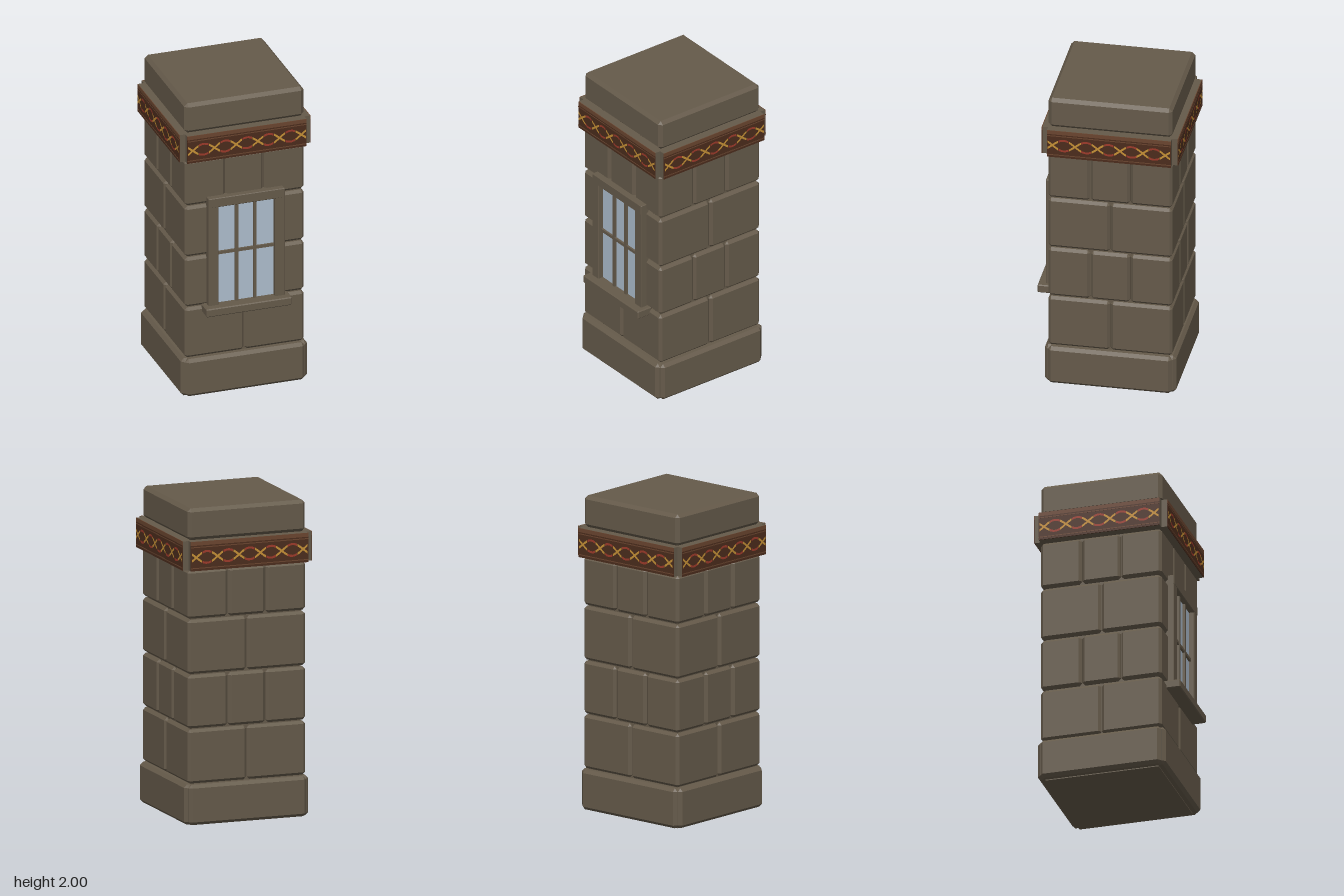
import * as THREE from 'three';
import { ConvexGeometry } from 'three/addons/geometries/ConvexGeometry.js';

const mat = (name, color, side = THREE.FrontSide) => {
  const m = new THREE.MeshStandardMaterial({ color, side });
  m.name = name;
  return m;
};

const CENTRE_Z = -0.024; // the pillar sits slightly back to make room for the sill
const HALF = 0.39;

export function createModel() {
  const stone = mat('stone', 0x655a4a);
  const glass = mat('glass', 0xadbdcd);
  const brown = mat('dark brown', 0x4b2c1c);
  const trim = mat('trim brown', 0x6a452f);
  const gold = mat('gold', 0xc48f35, THREE.DoubleSide);
  const red = mat('red', 0x9c3a2a, THREE.DoubleSide);

  const model = new THREE.Group();
  model.name = 'pillar';

  const add = (parent, name, geometry, material) => {
    const mesh = new THREE.Mesh(geometry, material);
    mesh.name = name;
    parent.add(mesh);
    return mesh;
  };

  // Box given by its limits
  const box = (parent, name, [x0, x1], [y0, y1], [z0, z1], material = stone) => {
    const g = new THREE.BoxGeometry(x1 - x0, y1 - y0, z1 - z0);
    g.translate((x0 + x1) / 2, (y0 + y1) / 2, (z0 + z1) / 2);
    return add(parent, name, g, material);
  };

  // Box with every edge chamfered by c
  const chamferBox = (parent, name, [x0, x1], [y0, y1], [z0, z1], c) => {
    const h = [(x1 - x0) / 2, (y1 - y0) / 2, (z1 - z0) / 2];
    const points = [];
    for (const sx of [-1, 1]) for (const sy of [-1, 1]) for (const sz of [-1, 1])
      for (let axis = 0; axis < 3; axis++) {
        const p = h.map((v, i) => (i === axis ? v : v - c));
        points.push(new THREE.Vector3(p[0] * sx, p[1] * sy, p[2] * sz));
      }
    const g = new ConvexGeometry(points);
    g.translate((x0 + x1) / 2, (y0 + y1) / 2, (z0 + z1) / 2);
    return add(parent, name, g, stone);
  };

  // Core and cap
  const shaft = new THREE.Group();
  shaft.name = 'shaft';
  shaft.position.z = CENTRE_Z;
  model.add(shaft);
  box(shaft, 'core', [-0.365, 0.365], [0, 1.81], [-0.365, 0.365]);
  chamferBox(shaft, 'cap', [-HALF, HALF], [1.8, 2], [-HALF, HALF], 0.021);

  // Braid pieces: two crossing waves, red at the crests and gold on the slopes
  const braidShapes = (isRed) => {
    const shapes = [];
    const eye = 0.142, amp = 0.037, width = 0.013, limit = 0.385;
    for (const sign of [-1, 1]) for (let k = -3; k <= 3; k++) {
      const mid = (isRed ? k : k + 0.5) * eye;
      const reach = (isRed ? 0.22 : 0.26) * eye;
      const a = Math.max(mid - reach, -limit), b = Math.min(mid + reach, limit);
      if (b - a < 0.01) continue;
      const upper = [], lower = [];
      for (let i = 0; i <= 8; i++) {
        const x = a + (b - a) * i / 8;
        const phase = Math.PI * x / eye;
        const y = 1.7 + sign * amp * Math.cos(phase);
        const w = width / 2 * (1 + 0.25 * Math.abs(Math.sin(phase)));
        upper.push(new THREE.Vector2(x, y + w));
        lower.unshift(new THREE.Vector2(x, y - w));
      }
      shapes.push(new THREE.Shape([...lower, ...upper]));
    }
    return shapes;
  };
  const braid = [[red, true, 0.4308], [gold, false, 0.4312]].map(([m, isRed, z]) => {
    const g = new THREE.ShapeGeometry(braidShapes(isRed));
    g.translate(0, 0, z);
    return [m, g];
  });

  // Four equal sides: plinth slab, stone courses and painted band
  const courses = [[0.265, 0.605, 2], [0.613, 0.948, 3], [0.956, 1.297, 2], [1.305, 1.61, 3]];
  for (let s = 0; s < 4; s++) {
    const side = new THREE.Group();
    side.name = 'side' + (s + 1);
    side.rotation.y = s * Math.PI / 2;
    shaft.add(side);

    chamferBox(side, 'plinthSlab', [-HALF, HALF], [0.006, 0.26], [0.31, 0.413], 0.02);

    for (const [y0, y1, count] of courses) {
      const cuts = count === 2 ? [-HALF, 0, HALF] : [-HALF, -0.125, 0.125, HALF];
      for (let i = 0; i < count; i++) {
        const x0 = cuts[i] + (i > 0 ? 0.002 : 0);
        const x1 = cuts[i + 1] - (i < count - 1 ? 0.002 : 0);
        chamferBox(side, 'stoneBlock', [x0, x1], [y0, y1], [0.27, HALF], 0.017);
      }
    }

    box(side, 'bandSlab', [-HALF, HALF], [1.615, 1.8], [0.36, 0.426]);
    box(side, 'bandPanel', [-HALF, HALF], [1.615, 1.775], [0.426, 0.43], brown);
    box(side, 'bandTopStrip', [-HALF, HALF], [1.775, 1.8], [0.426, 0.43], trim);
    for (const y of [1.632, 1.764])
      box(side, 'bandLine', [-HALF, HALF], [y - 0.003, y + 0.003], [0.43, 0.431], trim);
    for (const [m, g] of braid) add(side, 'braid', g, m);
  }

  // Window on the front
  const win = new THREE.Group();
  win.name = 'window';
  model.add(win);
  box(win, 'pane', [-0.2, 0.2], [0.61, 1.3], [0.364, 0.371], glass);
  for (const s of [-1, 1]) {
    const x = s * 0.2175;
    chamferBox(win, 'jamb', [x - 0.0325, x + 0.0325], [0.61, 1.35], [0.345, 0.406], 0.004);
    box(win, 'mullion', [s * 0.06 - 0.01, s * 0.06 + 0.01], [0.61, 1.3], [0.365, 0.386]);
  }
  chamferBox(win, 'lintel', [-0.25, 0.25], [1.287, 1.35], [0.345, 0.407], 0.004);
  box(win, 'transom', [-0.19, 0.19], [0.954, 0.973], [0.365, 0.385]);
  chamferBox(win, 'sill', [-0.28, 0.28], [0.566, 0.62], [0.345, 0.454], 0.006);

  return model;
}
